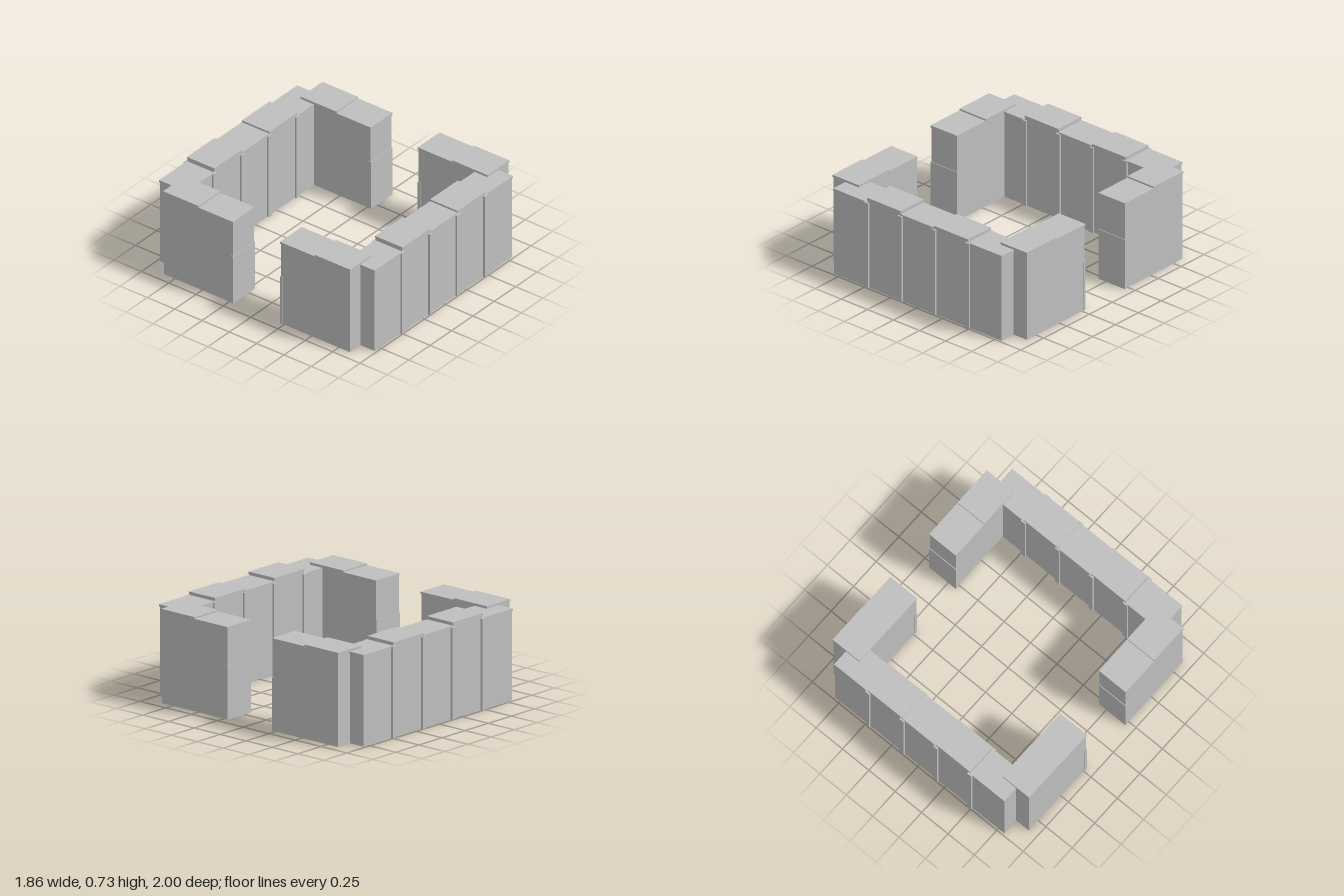
import * as THREE from 'three';

const stone = new THREE.MeshStandardMaterial({ color: 0xbfbfbf });
stone.name = 'light grey stone';

// Box given by its extents on each axis
function block(parent, name, [x0, x1], [y0, y1], [z0, z1]) {
  const mesh = new THREE.Mesh(new THREE.BoxGeometry(x1 - x0, y1 - y0, z1 - z0), stone);
  mesh.position.set((x0 + x1) / 2, (y0 + y1) / 2, (z0 + z1) / 2);
  mesh.name = name;
  parent.add(mesh);
}

// Extents mirrored to the negative side when s is -1
const flip = (s, a, b) => (s > 0 ? [a, b] : [-b, -a]);

const CAP = 0.018;    // cap slab thickness
const INSET = 0.004;  // body set back under its cap

// Long wall: five bays of different height with pilasters at the joints
function longWall(s) {
  const wall = new THREE.Group();
  wall.name = s > 0 ? 'frontWall' : 'backWall';
  const joints = [-0.81, -0.485, -0.162, 0.158, 0.482, 0.805];
  const heights = [0.69, 0.725, 0.7, 0.715, 0.69];
  heights.forEach((h, i) => {
    const x0 = joints[i], x1 = joints[i + 1];
    const a = i === 0 ? INSET : 0, b = i === 4 ? INSET : 0;
    block(wall, 'wallBay', [x0 + a, x1 - b], [0, h - CAP], flip(s, 0.735 + INSET, 0.987 - INSET));
    block(wall, 'wallCap', [x0, x1], [h - CAP, h], flip(s, 0.735, 0.987));
  });
  for (const x of joints.slice(1, 5)) {
    block(wall, 'pilaster', [x - 0.021, x + 0.019], [0, 0.688], flip(s, 0.725, 0.999));
  }
  return wall;
}

// Short side wall: two bays, with a low sheath on the end by the opening
function sideWall(sx, sz) {
  const wall = new THREE.Group();
  wall.name = `${sz > 0 ? 'front' : 'back'}${sx > 0 ? 'Left' : 'Right'}SideWall`;
  const bays = [[0.215, 0.53, 0.695], [0.53, 0.855, 0.708]];
  bays.forEach(([z0, z1, h], i) => {
    const a = i === 0 ? INSET : 0, b = i === 1 ? INSET : 0;
    block(wall, 'sideBay', flip(sx, 0.678 + INSET, 0.932 - INSET), [0, h - CAP], flip(sz, z0 + a, z1 - b));
    block(wall, 'sideCap', flip(sx, 0.678, 0.932), [h - CAP, h], flip(sz, z0, z1));
  });
  block(wall, 'endSheath', flip(sx, 0.678, 0.932), [0, 0.4], flip(sz, 0.214, 0.238));
  return wall;
}

export function createModel() {
  const model = new THREE.Group();
  model.name = 'walledEnclosure';
  for (const sz of [1, -1]) {
    model.add(longWall(sz));
    for (const sx of [1, -1]) model.add(sideWall(sx, sz));
  }
  return model;
}
